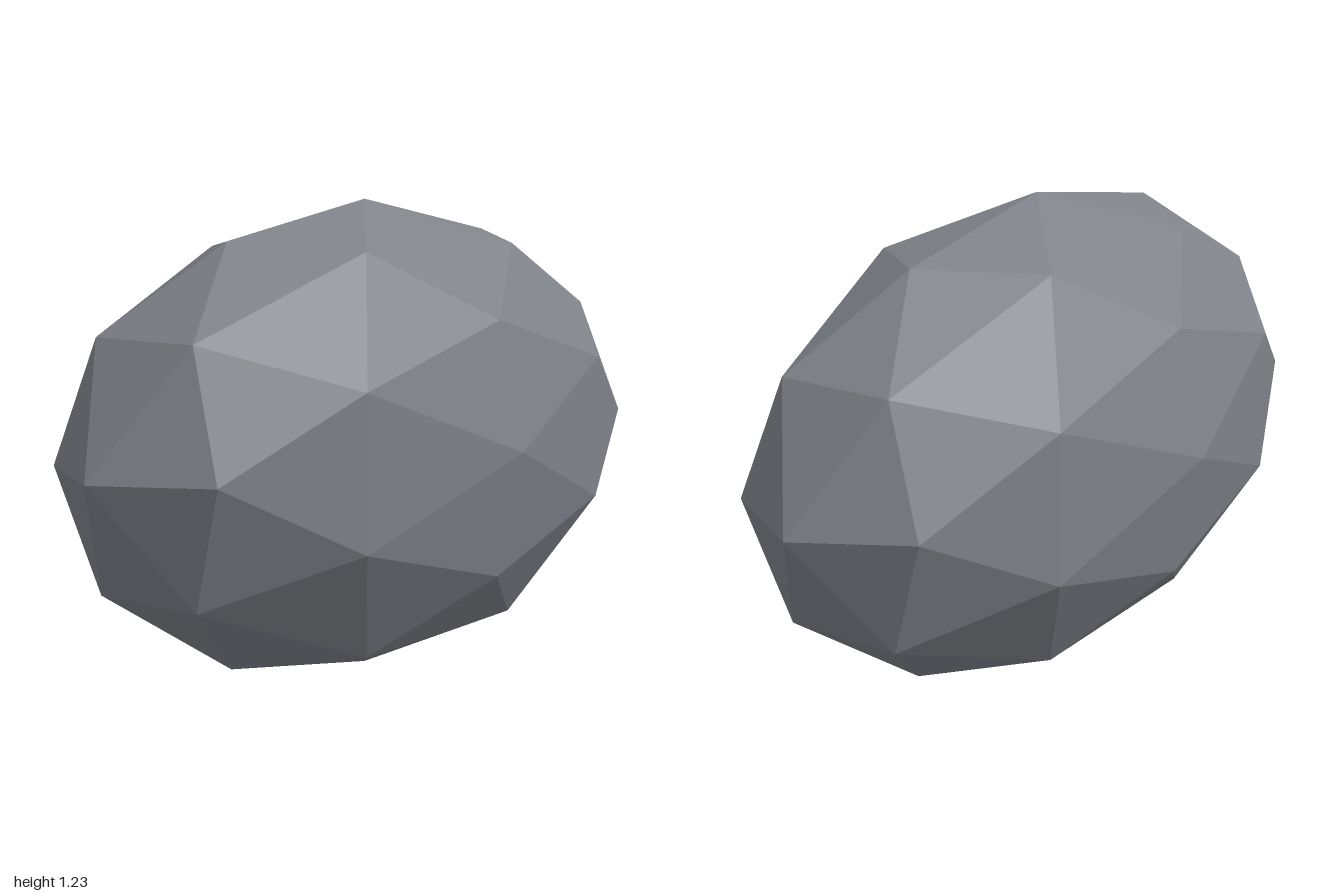
import * as THREE from 'three';

export function createModel() {
  const group = new THREE.Group();
  group.name = 'boulder';

  const stone = new THREE.MeshStandardMaterial({ color: 0x80828a });
  stone.name = 'grey stone';
  stone.flatShading = true;

  // Faceted ball stretched into a flattened, egg-like rock
  const geometry = new THREE.IcosahedronGeometry(1, 1);
  geometry.scale(1, 0.614, 0.5);
  geometry.translate(0, 0.618, 0);
  geometry.computeVertexNormals();

  const rock = new THREE.Mesh(geometry, stone);
  rock.name = 'rock';
  group.add(rock);
  return group;
}
